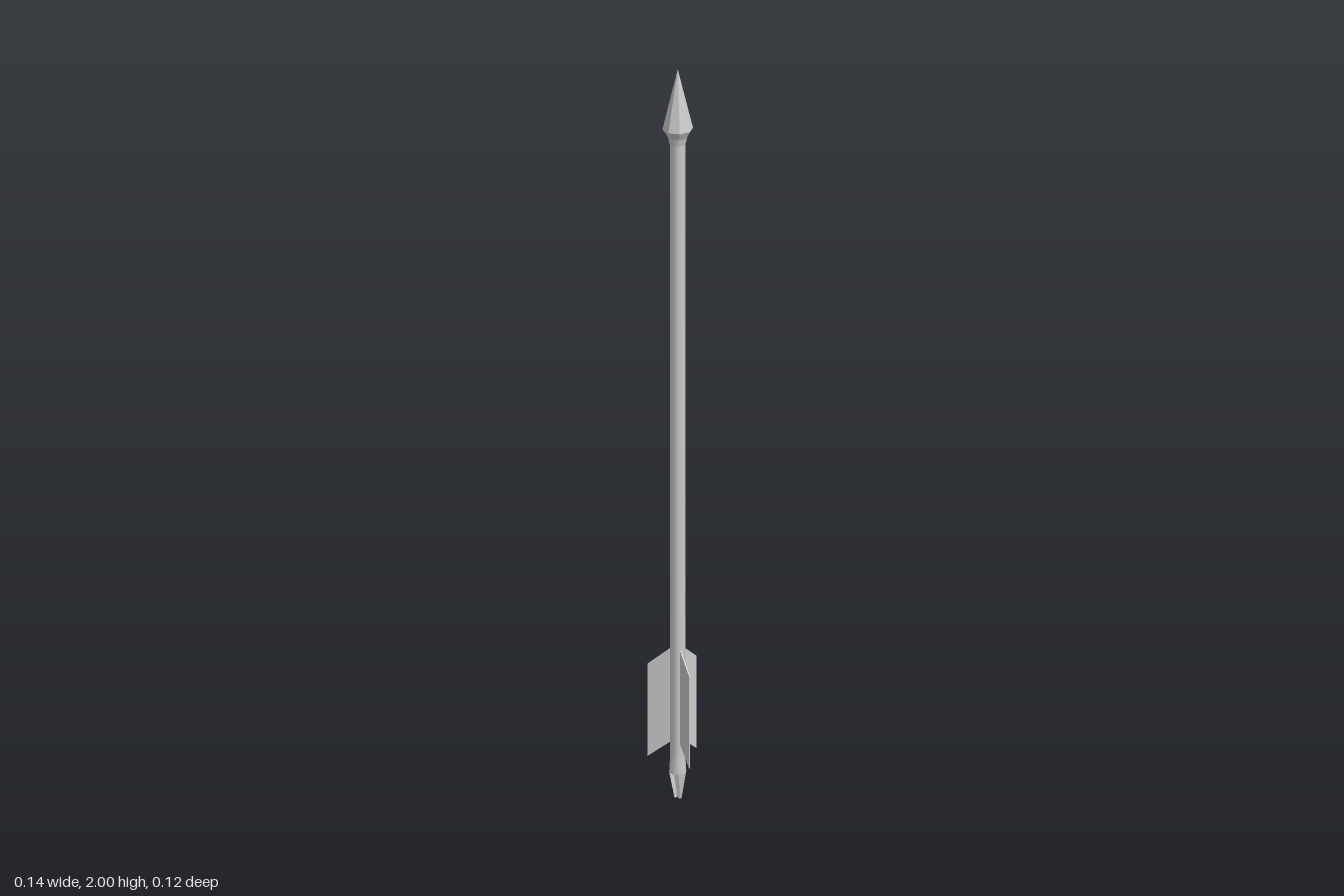
import * as THREE from 'three';

const SIDES = 8;
const AXIS_Z = 0.017; // shaft axis sits slightly forward of the bounding-box centre

export function createModel() {
  const arrow = new THREE.Group();
  arrow.name = 'arrow';
  const body = new THREE.Group();
  body.name = 'arrowBody';
  body.position.z = AXIS_Z;
  arrow.add(body);

  const material = new THREE.MeshStandardMaterial({ color: 0xcccccc });
  const facetMaterial = new THREE.MeshStandardMaterial({ color: 0xcccccc, flatShading: true });

  function add(name, geometry, mat = material) {
    const mesh = new THREE.Mesh(geometry, mat);
    mesh.name = name;
    body.add(mesh);
    return mesh;
  }

  // Tapered eight-sided section between two heights
  function section(name, y0, r0, y1, r1, mat, open = false) {
    const geometry = new THREE.CylinderGeometry(r1, r0, y1 - y0, SIDES, 1, open);
    geometry.translate(0, (y0 + y1) / 2, 0);
    return add(name, geometry, mat);
  }

  // Shaft
  section('shaft', 0.1, 0.0195, 1.82, 0.0195, material);

  // Arrowhead: collar, flared underside and long point
  section('headCollar', 1.797, 0.021, 1.815, 0.025, material);
  section('headFlare', 1.815, 0.025, 1.838, 0.039, facetMaterial, true);
  section('headPoint', 1.838, 0.039, 2.0, 0.0002, facetMaterial, true);

  // Three swept fins, spaced evenly around the shaft
  const finShape = new THREE.Shape([
    new THREE.Vector2(0.012, 0.415),
    new THREE.Vector2(0.0775, 0.363),
    new THREE.Vector2(0.0775, 0.11),
    new THREE.Vector2(0.012, 0.158),
  ]);
  const thickness = 0.003;
  const finGeometry = new THREE.ExtrudeGeometry(finShape, { depth: thickness, bevelEnabled: false });
  finGeometry.translate(0, 0, -thickness / 2);
  for (let i = 0; i < 3; i++) {
    const fin = add('fin' + (i + 1), finGeometry);
    fin.rotation.y = Math.PI / 2 + (i * Math.PI * 2) / 3;
  }

  // Nock: slightly swollen base that splits into two tapering prongs
  section('nockBase', 0.07, 0.022, 0.115, 0.0195, material);
  for (const side of [1, -1]) {
    const geometry = new THREE.CylinderGeometry(1, 1, 1, SIDES);
    const p = geometry.attributes.position;
    for (let i = 0; i < p.count; i++) {
      const top = p.getY(i) > 0;
      const x = p.getX(i) * side * (top ? 0.022 : 0.012);
      const z = p.getZ(i) * (top ? 0.022 : 0.004);
      // Clamping at the slot wall gives each prong a flat inner face
      p.setXYZ(i, side * Math.max(x, 0.004), top ? 0.072 : 0, side * z);
    }
    geometry.computeVertexNormals();
    add(side > 0 ? 'leftNockProng' : 'rightNockProng', geometry, facetMaterial);
  }

  return arrow;
}
